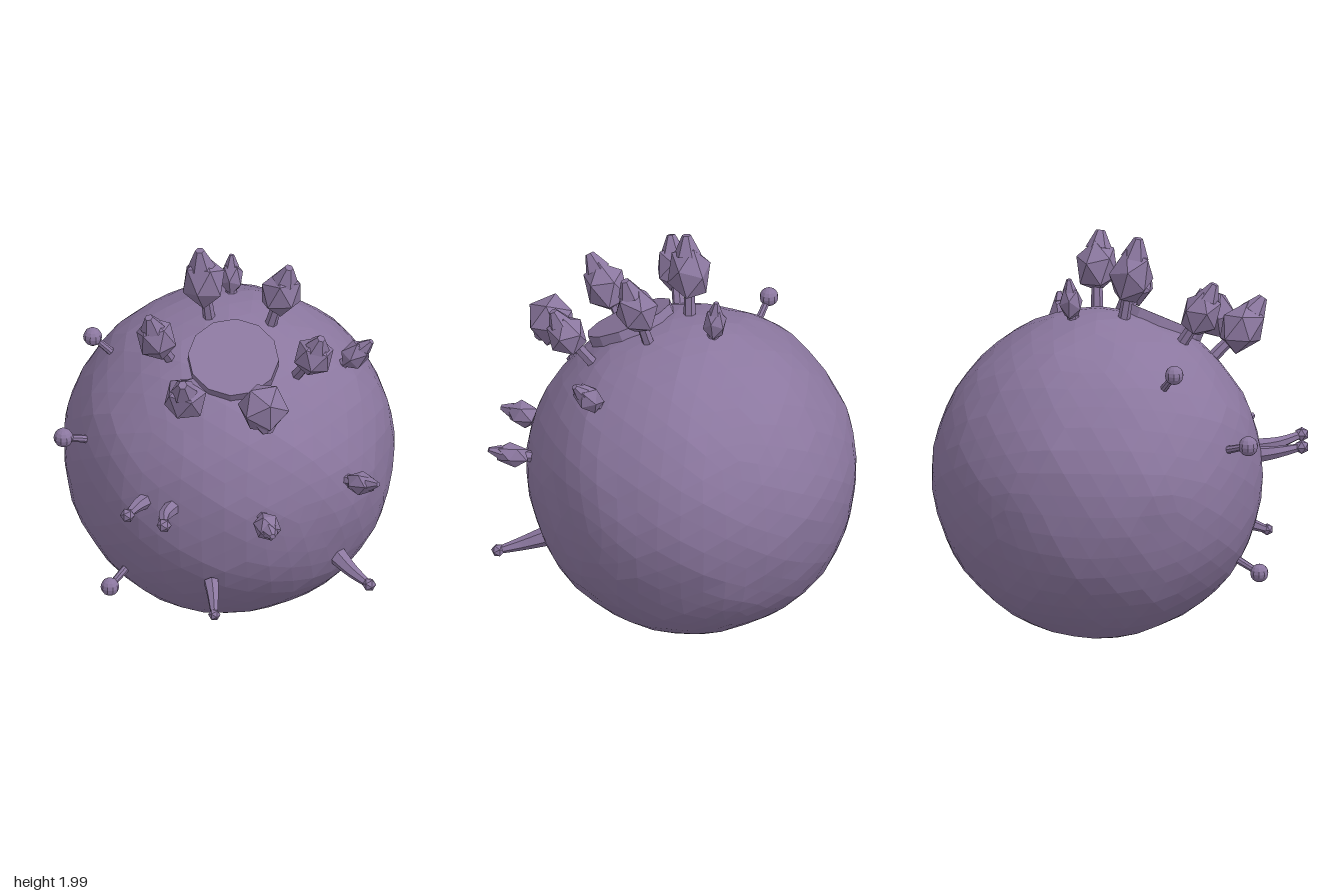
import * as THREE from 'three';

const material = new THREE.MeshStandardMaterial({ color: 0x8b779f, flatShading: true });
const UP = new THREE.Vector3(0, 1, 0);
const CENTER = new THREE.Vector3(-0.09, 0.81, -0.11);
const RADIUS = 0.8;
const vec = (p) => new THREE.Vector3(...p);

function part(name, geometry, position) {
  const mesh = new THREE.Mesh(geometry, material);
  mesh.name = name;
  if (position) mesh.position.copy(position);
  return mesh;
}

// Straight rod between two points
function rod(name, a, b, ra, rb, sides) {
  const dir = b.clone().sub(a);
  const mesh = part(name, new THREE.CylinderGeometry(rb, ra, dir.length(), sides), a.clone().lerp(b, 0.5));
  mesh.quaternion.setFromUnitVectors(UP, dir.normalize());
  return mesh;
}

// Point on the body below p; depth sinks it under the surface
function rootOf(p, depth = 0.03) {
  return p.clone().sub(CENTER).setLength(RADIUS - depth).add(CENTER);
}

// Lumpy faceted ball
function makeBody() {
  const geometry = new THREE.IcosahedronGeometry(1, 7);
  const pos = geometry.attributes.position;
  const v = new THREE.Vector3();
  for (let i = 0; i < pos.count; i++) {
    v.fromBufferAttribute(pos, i).normalize();
    const lump = Math.sin(5 * v.x + 2 * v.y) * Math.sin(6 * v.y - 3 * v.z + 1) * Math.cos(5 * v.z + 2 * v.x)
      + 0.5 * Math.sin(13 * v.x + 1) * Math.sin(12 * v.y) * Math.sin(14 * v.z + 2);
    v.multiplyScalar(RADIUS + 0.012 * lump);
    pos.setXYZ(i, v.x, v.y, v.z);
  }
  geometry.computeVertexNormals();
  return part('body', geometry, CENTER);
}

// Stretched crystal with a blunt tip and a thin stalk
function makeCrystal(name, [c, t, r, spin]) {
  const group = new THREE.Group();
  group.name = name;
  const center = vec(c), tip = vec(t);
  const axis = tip.clone().sub(center);
  const length = axis.length();
  const gem = part('crystalBody', new THREE.IcosahedronGeometry(1, 0).rotateX(0.55).rotateY(spin), center);
  gem.geometry.scale(r, Math.max(length * 0.76, r), r);
  gem.geometry.computeVertexNormals();
  gem.quaternion.setFromUnitVectors(UP, axis.normalize());
  group.add(gem);
  group.add(rod('crystalTip', center.clone().lerp(tip, 0.5), tip, r * 0.6, r * 0.2, 6));
  group.add(rod('crystalStalk', rootOf(center), center, 0.03, 0.025, 6));
  return group;
}

// Ball on a short stick
function makePin([c, r]) {
  const group = new THREE.Group();
  group.name = 'pin';
  const center = vec(c);
  group.add(part('pinHead', new THREE.SphereGeometry(r, 10, 8), center));
  group.add(rod('pinStick', rootOf(center), center, 0.02, 0.016, 8));
  return group;
}

// Curved tapering horn with a small knob at its end
function makeHorn([points, r0, r1, knob]) {
  const group = new THREE.Group();
  group.name = 'horn';
  const curve = new THREE.CatmullRomCurve3(points.map(vec));
  const steps = 6, sides = 6;
  const geometry = new THREE.TubeGeometry(curve, steps, 1, sides, false);
  const pos = geometry.attributes.position;
  const v = new THREE.Vector3();
  for (let i = 0; i <= steps; i++) {
    const mid = curve.getPointAt(i / steps);
    const r = THREE.MathUtils.lerp(r0, r1, i / steps);
    for (let j = 0; j <= sides; j++) {
      const k = i * (sides + 1) + j;
      v.fromBufferAttribute(pos, k).sub(mid).multiplyScalar(r).add(mid);
      pos.setXYZ(k, v.x, v.y, v.z);
    }
  }
  geometry.computeVertexNormals();
  group.add(part('hornShaft', geometry));
  group.add(part('hornKnob', new THREE.IcosahedronGeometry(knob, 0), curve.getPoint(1)));
  return group;
}

export function createModel() {
  const model = new THREE.Group();
  model.name = 'crystalBall';
  model.add(makeBody());

  // Flat tilted plate on the crown
  const plateNormal = new THREE.Vector3(0.27, 0.89, 0.37).normalize();
  const plate = part('crownPlate', new THREE.CylinderGeometry(0.22, 0.22, 0.08, 12), new THREE.Vector3(0.12, 1.5, 0.175));
  plate.quaternion.setFromUnitVectors(UP, plateNormal);
  model.add(plate);

  // Ring of large crystals: centre, tip, radius, spin
  const large = [
    [[-0.13, 1.81, 0.055], [-0.13, 2.0, 0.09], 0.112, 0.3],
    [[0.2, 1.765, -0.125], [0.255, 1.93, -0.11], 0.108, 1.1],
    [[-0.18, 1.64, 0.395], [-0.18, 1.79, 0.46], 0.1, 0.7],
    [[0.11, 1.49, 0.58], [0.16, 1.63, 0.68], 0.11, 0.2],
    [[0.45, 1.465, 0.41], [0.5, 1.355, 0.45], 0.128, 0.9],
    [[0.5, 1.59, 0.045], [0.56, 1.72, 0.07], 0.1, 0.5],
  ];
  for (const spec of large) model.add(makeCrystal('largeCrystal', spec));

  // Small crystals outside the ring
  const small = [
    [[-0.16, 1.68, -0.235], [-0.165, 1.8, -0.245], 0.06, 0.4],
    [[0.51, 1.43, -0.305], [0.59, 1.52, -0.325], 0.068, 0.2],
    [[0.775, 0.97, 0.05], [0.89, 1.01, 0.07], 0.06, 0.8],
    [[0.55, 0.89, 0.53], [0.635, 0.9, 0.61], 0.068, 0.1],
  ];
  for (const spec of small) model.add(makeCrystal('smallCrystal', spec));

  // Pins on the right side
  const pins = [
    [[-0.62, 1.455, 0.285], 0.046],
    [[-0.555, 1.085, 0.64], 0.048],
    [[-0.26, 0.365, 0.68], 0.045],
  ];
  for (const spec of pins) model.add(makePin(spec));

  // Two long horns in front, two lower ones on the left side
  const horns = [
    [[[-0.065, 0.9, 0.64], [-0.06, 0.915, 0.75], [-0.03, 0.935, 0.875]], 0.042, 0.018, 0.036],
    [[[0.075, 0.9, 0.62], [0.1, 0.915, 0.75], [0.175, 0.94, 0.865]], 0.042, 0.018, 0.036],
    [[[0.24, 0.49, 0.55], [0.29, 0.455, 0.61], [0.35, 0.41, 0.69]], 0.038, 0.018, 0.03],
    [[[0.62, 0.5, 0.02], [0.72, 0.465, 0.05], [0.84, 0.435, 0.075]], 0.048, 0.018, 0.034],
  ];
  for (const spec of horns) model.add(makeHorn(spec));

  return model;
}
